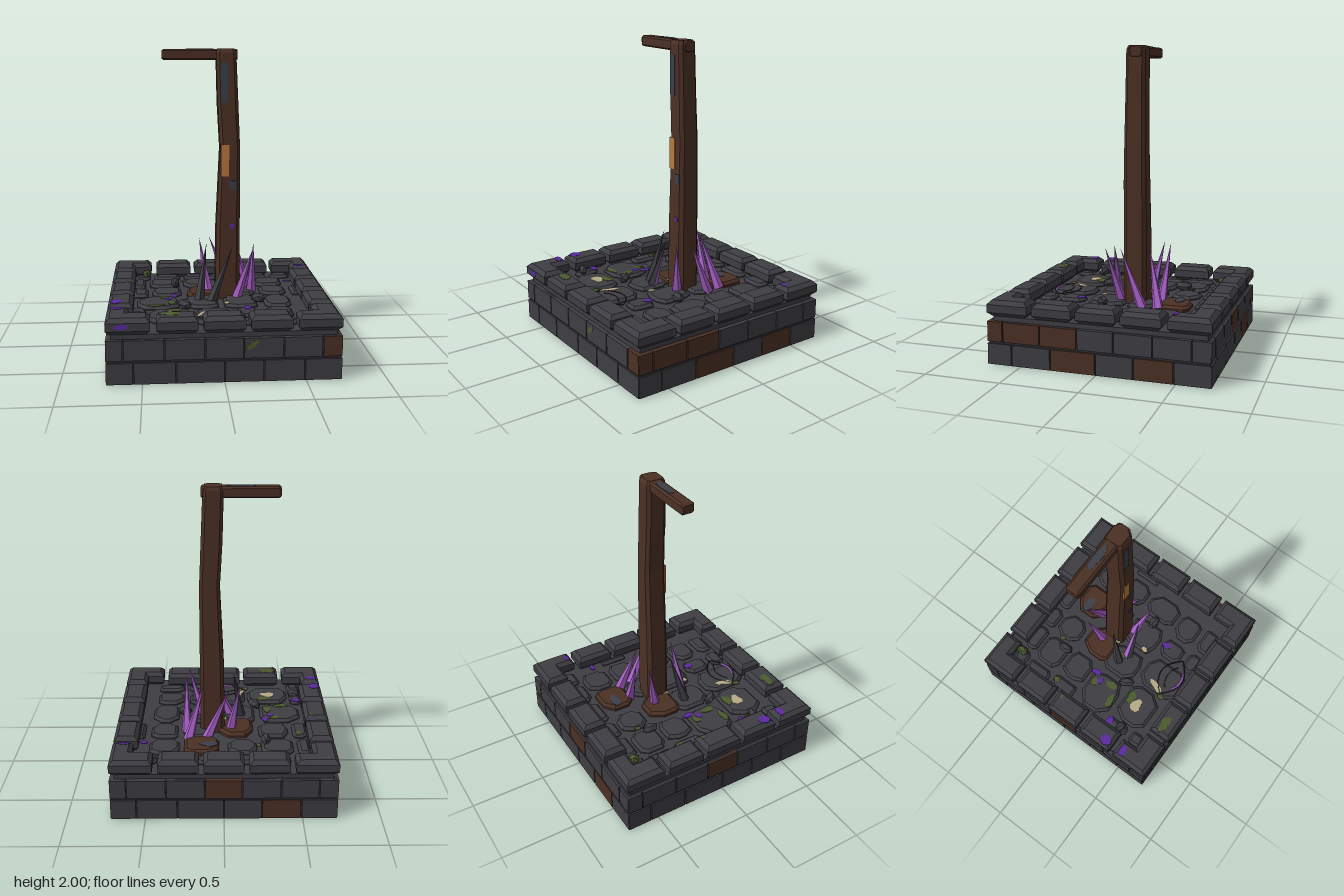
import * as THREE from 'three';

const mat = (name, color) => Object.assign(new THREE.MeshStandardMaterial({ color }), { name });
const stone = mat('stone', 0x3e3d43);
const mortar = mat('mortar', 0x29282c);
const wood = mat('wood', 0x4b3024);
const crystal = mat('crystal', 0xa860c8);
const violet = mat('violet', 0x5a2aa0);
const moss = mat('moss', 0x4b5a2e);
const bone = mat('bone', 0xb5aa86);
const amber = mat('amber', 0xb8783e);
const slate = mat('slate', 0x3b4049);

// split faces so every facet gets its own normal
const facet = (g) => {
  const f = g.index ? g.toNonIndexed() : g;
  f.computeVertexNormals();
  return f;
};

// flat outline [x,z,...] raised into a slab with chamfered edges
function slab(pts, y0, y1, bevel) {
  const v = [];
  for (let i = 0; i < pts.length; i += 2) v.push(new THREE.Vector2(pts[i], -pts[i + 1]));
  if (THREE.ShapeUtils.isClockWise(v)) v.reverse();
  const g = new THREE.ExtrudeGeometry(new THREE.Shape(v), {
    depth: y1 - y0 - 2 * bevel, bevelEnabled: bevel > 0, bevelThickness: bevel,
    bevelSize: bevel, bevelOffset: -bevel, bevelSegments: 1,
  });
  return facet(g.rotateX(-Math.PI / 2).translate(0, y0 + bevel, 0));
}

// chamfered square section lofted through rows [y, cx, cz, halfX, halfZ]
function beam(rows) {
  const n = rows.length - 1;
  const g = new THREE.CylinderGeometry(1, 1, 1, 8, n, false, Math.PI / 8);
  const snap = (v) => Math.sign(v) * (Math.abs(v) > 0.6 ? 1 : Math.abs(v) > 0.1 ? 0.7 : 0);
  const p = g.attributes.position;
  for (let i = 0; i < p.count; i++) {
    const [y, cx, cz, hx, hz] = rows[Math.round((p.getY(i) + 0.5) * n)];
    p.setXYZ(i, cx + hx * snap(p.getX(i)), y, cz + hz * snap(p.getZ(i)));
  }
  return facet(g);
}

export function createModel() {
  const root = new THREE.Group();
  let seed = 7;
  const rnd = () => (seed = (seed * 16807) % 2147483647) / 2147483647;
  const group = (name) => {
    const g = new THREE.Group();
    g.name = name;
    root.add(g);
    return g;
  };
  const add = (parent, name, geo, m) => {
    const mesh = new THREE.Mesh(geo, m);
    mesh.name = name;
    parent.add(mesh);
    return mesh;
  };

  // plinth core and floor bed
  const base = group('base');
  add(base, 'core', new THREE.BoxGeometry(1.42, 0.28, 1.42).translate(0, 0.14, 0), mortar);
  add(base, 'floorBed', new THREE.BoxGeometry(1.38, 0.035, 1.38).translate(0, 0.2925, 0), stone);

  // brick courses: joints left to right as seen on each side, and the brown bricks
  const lower = [-0.72, -0.555, -0.295, 0, 0.24, 0.49, 0.72];
  const upper = [-0.72, -0.615, -0.365, -0.12, 0.115, 0.36, 0.6, 0.72];
  const sides = [
    { name: 'frontBricks', turn: 0, low: [], up: [6] },
    { name: 'rightBricks', turn: 1, low: [2, 4], up: [0, 1, 2] },
    { name: 'backBricks', turn: 2, low: [4], up: [3] },
    { name: 'leftBricks', turn: 3, low: [], up: [3] },
  ];
  for (const s of sides) {
    const g = group(s.name);
    g.rotation.y = s.turn * Math.PI / 2;
    for (const [joints, y0, y1, brown] of [[lower, 0.004, 0.138, s.low], [upper, 0.153, 0.28, s.up]]) {
      for (let i = 0; i < joints.length - 1; i++) {
        const a = Math.max(joints[i] + 0.004, -0.718), b = Math.min(joints[i + 1] - 0.004, 0.718);
        const geo = new THREE.BoxGeometry(b - a, y1 - y0, 0.06);
        add(g, 'brick', geo.translate((a + b) / 2, (y0 + y1) / 2, 0.69), brown.includes(i) ? wood : stone);
      }
    }
  }

  // rim: one L-shaped corner and three blocks per side
  const corner = [-0.72, 0.72, -0.45, 0.72, -0.45, 0.565, -0.585, 0.565, -0.585, 0.45, -0.72, 0.45];
  for (let t = 0; t < 4; t++) {
    const rim = group('rim');
    rim.rotation.y = t * Math.PI / 2;
    add(rim, 'cornerStone', slab(corner, 0.312, 0.415, 0.026), stone);
    for (const x of [-0.287, 0, 0.287]) {
      const w = 0.128;
      add(rim, 'rimStone', slab([x - w, 0.72, x + w, 0.72, x + w, 0.56, x - w, 0.56], 0.312, 0.415, 0.026), stone);
    }
  }

  // paving stone: a rectangle with unevenly cut corners
  const paving = group('paving');
  const pave = (z0, z1, x0, x1, y, m) => {
    const size = Math.min(x1 - x0, z1 - z0);
    const cut = () => size * (0.12 + 0.25 * rnd());
    add(paving, 'pavingStone', slab([
      x0, z0 + cut(), x0 + cut(), z0, x1 - cut(), z0, x1, z0 + cut(),
      x1, z1 - cut(), x1 - cut(), z1, x0 + cut(), z1, x0, z1 - cut()], 0.285, y, 0.018), m);
  };
  // courses across the floor: back and front z, then the x span of each stone
  for (const [z0, z1, ...spans] of [
    [-.58, -.48, -.57, -.46, -.43, -.24, -.21, -.06, -.03, .18, .22, .4, .43, .57],
    [-.46, -.27, -.57, -.49, -.46, -.25, -.22, -.03, .29, .49],
    [-.24, -.05, -.57, -.47, -.44, -.24, .07, .27, .31, .49, .53, .58],
    [-.02, .23, -.54, -.26, -.22, 0, .04, .26, .31, .49],
    [.27, .51, -.47, -.18], [.26, .43, -.57, -.49, .1, .24, .28, .47],
    [.26, .57, -.16, .07], [.47, .57, -.57, -.48, .1, .25, .29, .47]]) {
    for (let i = 0; i < spans.length; i += 2) pave(z0, z1, spans[i], spans[i + 1], 0.335, stone);
  }
  pave(-.46, -.25, .03, .26, 0.345, wood);
  pave(-.23, 0, -.2, .03, 0.345, wood);

  // loose pebbles: [x, z, halfX, halfZ, turn, material]
  const pebbles = group('pebbles');
  for (const [x, z, a, b, turn, m] of [[-.28, -.305, .035, .065, 0, stone], [-.225, .215, .035, .065, .6, stone],
    [.27, .11, .055, .035, 0, stone], [-.52, .375, .05, .03, -.3, stone], [-.485, -.55, .035, .05, 0, moss]]) {
    const mesh = add(pebbles, 'pebble', facet(new THREE.IcosahedronGeometry(1, 0).scale(a, 0.035, b)), m);
    mesh.position.set(x, 0.345, z);
    mesh.rotation.y = turn;
  }

  // post with a slight bend, and its side arm
  const post = group('post');
  add(post, 'upright', beam([[0.3, .073, -.072, .083, .079], [0.8, .077, -.072, .08, .077], [1.35, .09, -.07, .067, .072],
    [1.65, .075, -.069, .069, .068], [1.975, .064, -.069, .066, .065], [2, .064, -.069, .055, .053]]), wood);
  add(post, 'arm', beam([[-.36, 0, 0, .027, .036], [-.345, 0, 0, .036, .045], [.128, 0, 0, .036, .045], [.14, 0, 0, .03, .038]])
    .rotateZ(-Math.PI / 2).translate(0, 1.962, -.075), wood);

  // worn patches on the front of the post: [x, y, width, height, z, material]
  for (const [x, y, w, h, z, m] of [[.055, 1.265, .055, .21, .001, amber], [.05, 1.78, .05, .26, -.003, slate],
    [.11, 1.1, .05, .06, .002, slate], [.1, .82, .03, .03, .003, violet]]) {
    add(post, 'wornPatch', new THREE.BoxGeometry(w, h, 0.009).translate(x, y, z), m);
  }

  // spikes leaning around the post: base x,z and tip x,z
  const spikes = group('spikes');
  const up = new THREE.Vector3(0, 1, 0);
  [[.11, -.245, -.04, -.27], [.235, -.26, .13, -.17], [-.05, -.13, -.11, -.21], [-.125, .07, -.07, -.02],
    [-.05, .1, .1, .085], [.13, .02, .24, .1], [.25, -.155, .25, -.01]].forEach(([bx, bz, tx, tz], i) => {
    const dir = new THREE.Vector3(tx - bx, 0.38, tz - bz);
    const geo = facet(new THREE.ConeGeometry(0.037, dir.length(), 5));
    geo.translate(0, dir.length() / 2, 0).applyQuaternion(new THREE.Quaternion().setFromUnitVectors(up, dir.normalize()));
    geo.translate(bx, 0.315, bz);
    // one spike is dark all over, the next only on its front facets
    geo.clearGroups();
    const nrm = geo.attributes.normal;
    for (let v = 0; v < nrm.count; v += 3) geo.addGroup(v, 3, i === 3 || (i === 4 && nrm.getZ(v) > 0.3) ? 1 : 0);
    add(spikes, 'spike', geo, [crystal, stone]);
  });

  // stains lying on the stones: [x, z, radiusX, radiusZ, turn]
  const stains = group('stains');
  const stain = (y, m, [x, z, rx, rz, turn = 0]) => {
    const pts = [];
    for (let k = 0; k < 10; k++) {
      const a = k * Math.PI / 5, r = 0.75 + 0.4 * rnd();
      pts.push(Math.cos(a) * rx * r, Math.sin(a) * rz * r);
    }
    const mesh = add(stains, 'stain', slab(pts, 0, 0.004, 0), m);
    mesh.position.set(x, y, z);
    mesh.rotation.y = turn;
    return mesh;
  };
  const floor = 0.334, top = 0.413;
  for (const s of [[-.33, .37, .055, .04], [-.12, .4, .025, .07, -.4], [.055, .175, .018, .025]]) stain(floor, bone, s);
  for (const s of [[.18, .29, .025, .035], [-.29, -.01, .022, .035], [-.33, .05, .025, .02], [.53, -.33, .03, .018], [-.53, .285, .04, .025]]) stain(floor, violet, s);
  for (const s of [[-.42, .2, .06, .025], [-.3, .31, .06, .03], [-.36, .02, .03, .025], [-.51, -.21, .02, .03],
    [-.23, -.37, .015, .025], [-.31, .14, .025, .045], [-.08, .07, .02, .02], [-.17, .48, .02, .03]]) stain(floor, moss, s);
  for (const s of [[-.665, .36, .04, .045], [-.66, .495, .04, .025], [.64, -.485, .04, .015]]) stain(top, violet, s);
  for (const s of [[-.33, .63, .07, .035], [-.605, -.09, .015, .015]]) stain(top, moss, s);
  stain(0.344, bone, [-.01, -.02, .015, .02]);
  stain(0.344, slate, [.1, -.37, .06, .03]);
  stain(1.9965, slate, [-.11, -.08, .09, .025]);
  stain(0.364, violet, [-.62, .717, .045, .02]).rotation.x = Math.PI / 2;
  stain(0.24, moss, [.17, .718, .05, .018]).rotation.set(Math.PI / 2, 0.7, 0);

  // eye carving with a glowing lower lid
  const eye = group('eyeCarving');
  const arc = (w, z0, z1, r, m) => add(eye, 'eyeLine', new THREE.TubeGeometry(new THREE.QuadraticBezierCurve3(
    new THREE.Vector3(-w, 0.336, z0), new THREE.Vector3(0, 0.336, z1), new THREE.Vector3(w, 0.336, z0)), 16, r, 5), m);
  arc(.15, .46, .28, .004, mortar);
  arc(.15, .46, .63, .004, mortar);
  arc(.09, .46, .39, .003, mortar);
  arc(.075, .51, .56, .008, crystal);
  return root;
}
